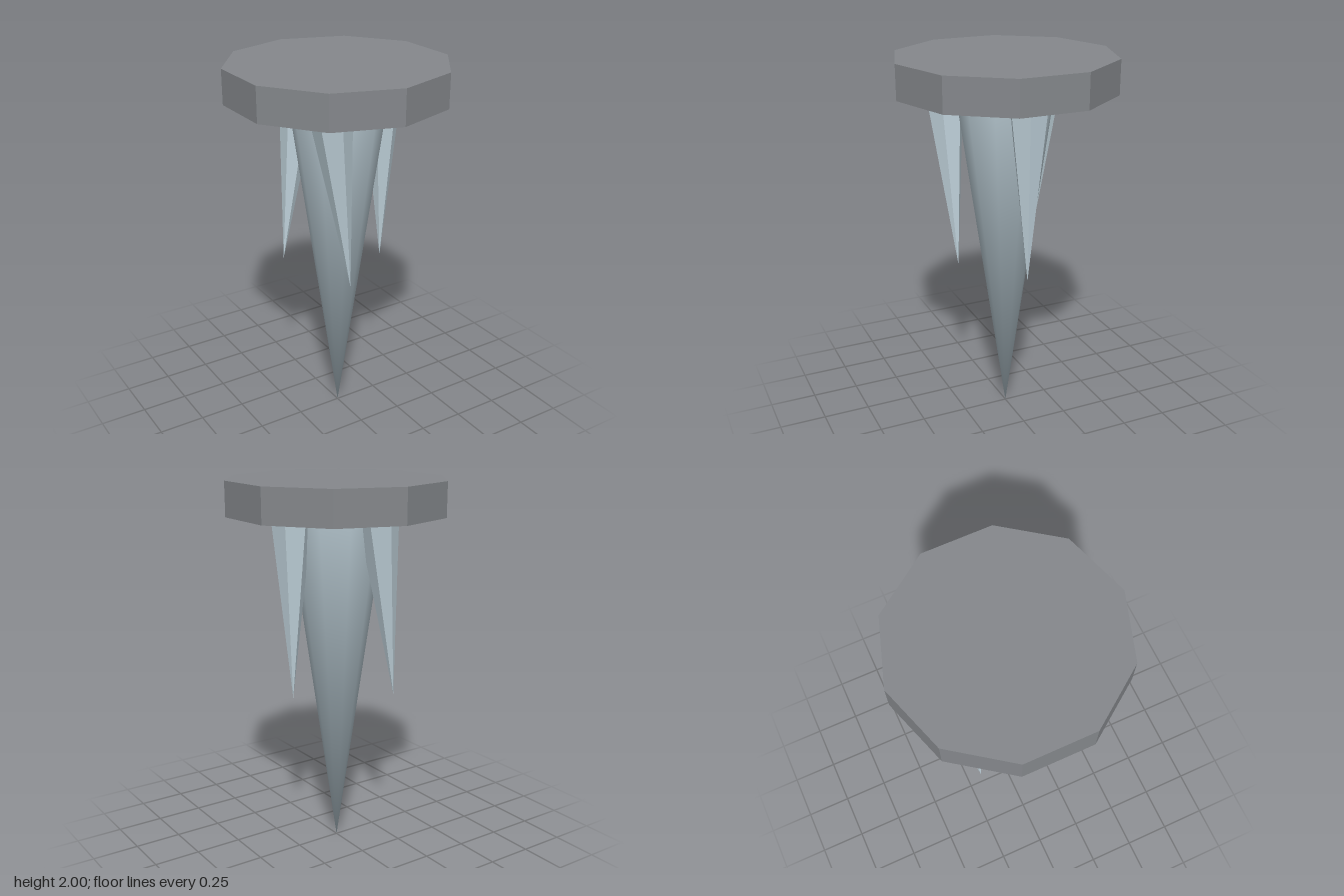
import * as THREE from 'three';
import { mergeVertices } from 'three/addons/utils/BufferGeometryUtils.js';

const CAP_BOTTOM = 1.82;

// Faceted copy of a geometry: every face gets its own normal
function faceted(geometry) {
  const flat = geometry.toNonIndexed();
  flat.computeVertexNormals();
  return flat;
}

// Smooth copy: corners are welded, so normals blend right down to the tip
function smooth(geometry) {
  geometry.deleteAttribute('normal');
  geometry.deleteAttribute('uv');
  const welded = mergeVertices(geometry, 1e-4);
  welded.computeVertexNormals();
  return welded;
}

// Downward spike with its base centred on (base) and its point on (tip), both [x, z]
function spike(radius, sides, spin, tipY, base, tip) {
  const height = CAP_BOTTOM - tipY;
  const g = new THREE.CylinderGeometry(radius, 0, height, sides, 1, true, spin);
  g.translate(0, height / 2, 0);
  const p = g.attributes.position;
  for (let i = 0; i < p.count; i++) {
    const t = p.getY(i) / height;
    p.setXYZ(
      i,
      p.getX(i) + THREE.MathUtils.lerp(tip[0], base[0], t),
      p.getY(i) + tipY,
      p.getZ(i) + THREE.MathUtils.lerp(tip[1], base[1], t)
    );
  }
  return g;
}

export function createModel() {
  const group = new THREE.Group();
  group.name = 'icicleCluster';

  const stone = new THREE.MeshStandardMaterial({ color: 0x85888c });
  stone.name = 'stone grey';
  const ice = new THREE.MeshStandardMaterial({ color: 0xc0d2db });
  ice.name = 'pale ice';

  const add = (name, geometry, material) => {
    const mesh = new THREE.Mesh(geometry, material);
    mesh.name = name;
    group.add(mesh);
  };

  // Ten-sided ceiling slab
  const slab = new THREE.CylinderGeometry(0.578, 0.578, 2 - CAP_BOTTOM, 10);
  slab.translate(0, (2 + CAP_BOTTOM) / 2, 0);
  add('ceilingSlab', faceted(slab), stone);

  // Large central icicle
  add('mainIcicle', smooth(spike(0.256, 10, Math.PI / 2, 0, [0, 0], [0, 0])), ice);

  // Three small icicles around it, two of them leaning
  const small = [
    { name: 'leftIcicle', base: [0.273, 0], tip: [0.278, 0], spin: 70 },
    { name: 'frontIcicle', base: [-0.2, 0.255], tip: [-0.075, 0.245], spin: 0 },
    { name: 'backIcicle', base: [-0.075, -0.255], tip: [-0.2, -0.245], spin: 0 },
  ];
  for (const { name, base, tip, spin } of small) {
    const g = spike(0.106, 6, THREE.MathUtils.degToRad(spin), 0.87, base, tip);
    add(name, faceted(g), ice);
  }

  return group;
}
